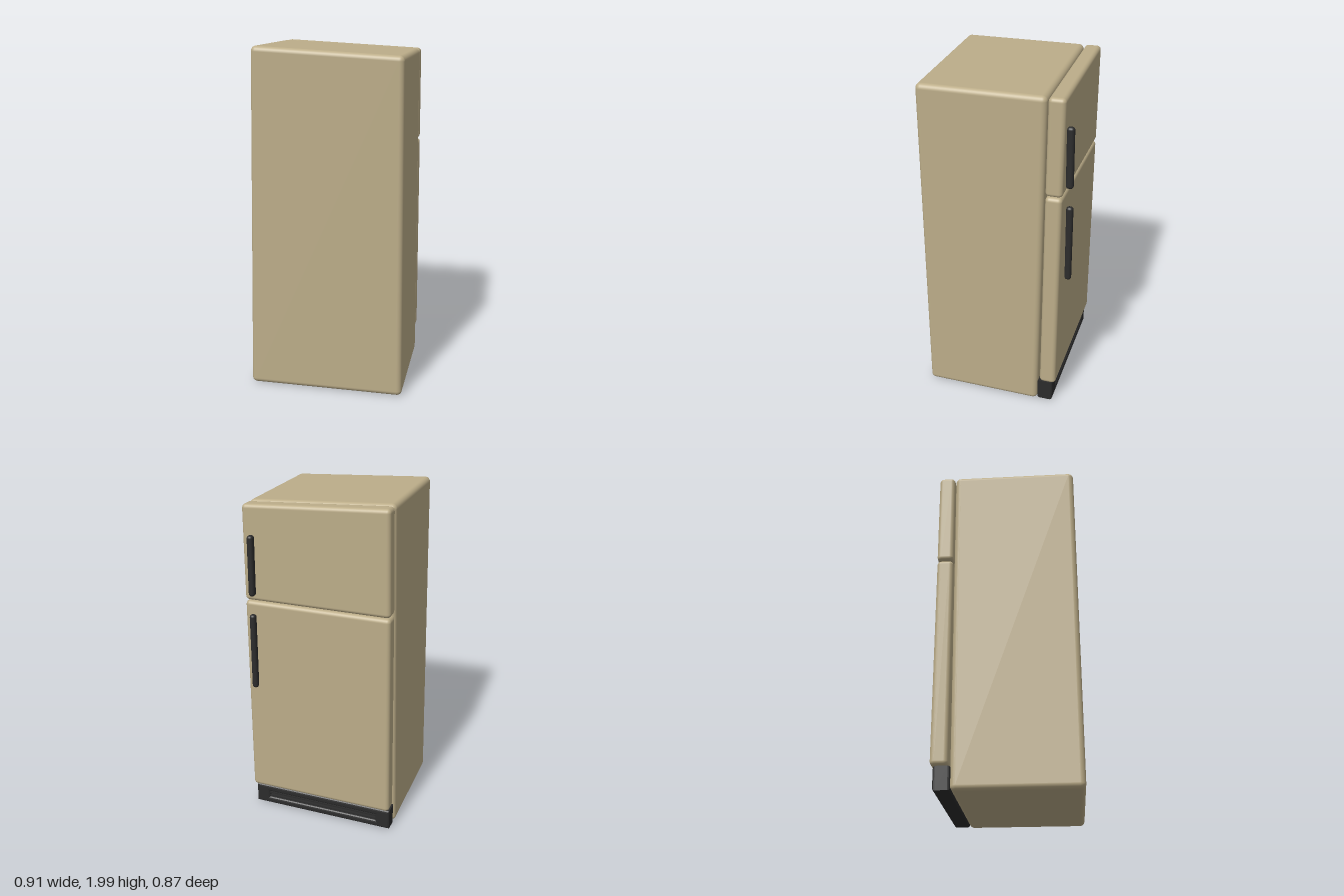
import * as THREE from 'three';
import { RoundedBoxGeometry } from 'three/addons/geometries/RoundedBoxGeometry.js';

const enamel = new THREE.MeshStandardMaterial({ color: 0xbcad89 });
enamel.name = 'beige enamel';
const plastic = new THREE.MeshStandardMaterial({ color: 0x2c2c2c });
plastic.name = 'dark plastic';

// Rounded block whose bottom and top may differ in x range, z range and height:
// x0/x1 and z0/z1 are [bottom, top]; y1 is the top height at [low x, high x].
function block(name, material, { x0, x1, y0, y1, z0, z1, radius }) {
  const w = x1[0] - x0[0], h = y1[0] - y0, d = z1[0] - z0[0];
  const geometry = new RoundedBoxGeometry(w, h, d, 4, radius);
  const p = geometry.attributes.position;
  const lerp = THREE.MathUtils.lerp;
  for (let i = 0; i < p.count; i++) {
    const u = p.getX(i) / w + 0.5, v = p.getY(i) / h + 0.5, s = p.getZ(i) / d + 0.5;
    p.setXYZ(i,
      lerp(lerp(x0[0], x0[1], v), lerp(x1[0], x1[1], v), u),
      lerp(y0, lerp(y1[0], y1[1], u), v),
      lerp(lerp(z0[0], z0[1], v), lerp(z1[0], z1[1], v), s));
  }
  const mesh = new THREE.Mesh(geometry, material);
  mesh.name = name;
  return mesh;
}

function rectangle(path, x0, y0, x1, y1) {
  path.moveTo(x0, y0);
  path.lineTo(x1, y0);
  path.lineTo(x1, y1);
  path.lineTo(x0, y1);
  path.closePath();
  return path;
}

// Kick plate with a recessed, slatted vent
function createKickPlate() {
  const group = new THREE.Group();
  group.name = 'kickPlate';
  const bevel = 0.015;
  const shape = rectangle(new THREE.Shape(), -0.445 + bevel, 0.01 + bevel, 0.435 - bevel, 0.14 - bevel);
  shape.holes.push(rectangle(new THREE.Path(), -0.37, 0.04, 0.36, 0.11));
  const frame = new THREE.Mesh(new THREE.ExtrudeGeometry(shape, {
    depth: 0.095 - 2 * bevel, bevelThickness: bevel, bevelSize: bevel, bevelSegments: 3,
  }), plastic);
  frame.position.z = -0.357 + bevel;
  frame.name = 'ventFrame';
  group.add(frame);

  const back = new THREE.Mesh(new THREE.BoxGeometry(0.76, 0.1, 0.03), plastic);
  back.position.set(-0.005, 0.075, -0.315);
  back.name = 'ventBack';
  group.add(back);

  for (const y of [0.064, 0.086]) {
    const slat = new THREE.Mesh(new THREE.BoxGeometry(0.74, 0.009, 0.025), plastic);
    slat.position.set(-0.005, y, -0.338);
    slat.name = 'ventSlat';
    group.add(slat);
  }
  return group;
}

export function createModel() {
  const model = new THREE.Group();
  model.name = 'refrigerator';

  // Leaning cabinet with a sloped top; the doors face -z
  model.add(block('cabinet', enamel, {
    x0: [-0.455, -0.41], x1: [0.452, 0.432], y0: 0.005, y1: [2.0, 1.955],
    z0: [-0.264, -0.29], z1: [0.435, 0.435], radius: 0.03,
  }));

  // Doors
  model.add(block('freezerDoor', enamel, {
    x0: [-0.425, -0.412], x1: [0.436, 0.43], y0: 1.4, y1: [1.998, 1.953],
    z0: [-0.384, -0.389], z1: [-0.288, -0.294], radius: 0.024,
  }));
  model.add(block('fridgeDoor', enamel, {
    x0: [-0.445, -0.425], x1: [0.447, 0.436], y0: 0.145, y1: [1.395, 1.395],
    z0: [-0.376, -0.383], z1: [-0.278, -0.288], radius: 0.024,
  }));

  // Handles
  model.add(block('freezerHandle', plastic, {
    x0: [0.356, 0.354], x1: [0.392, 0.39], y0: 1.44, y1: [1.79, 1.79],
    z0: [-0.431, -0.427], z1: [-0.389, -0.385], radius: 0.016,
  }));
  model.add(block('fridgeHandle', plastic, {
    x0: [0.358, 0.356], x1: [0.394, 0.392], y0: 0.87, y1: [1.33, 1.33],
    z0: [-0.436, -0.434], z1: [-0.399, -0.395], radius: 0.016,
  }));

  model.add(createKickPlate());
  return model;
}
